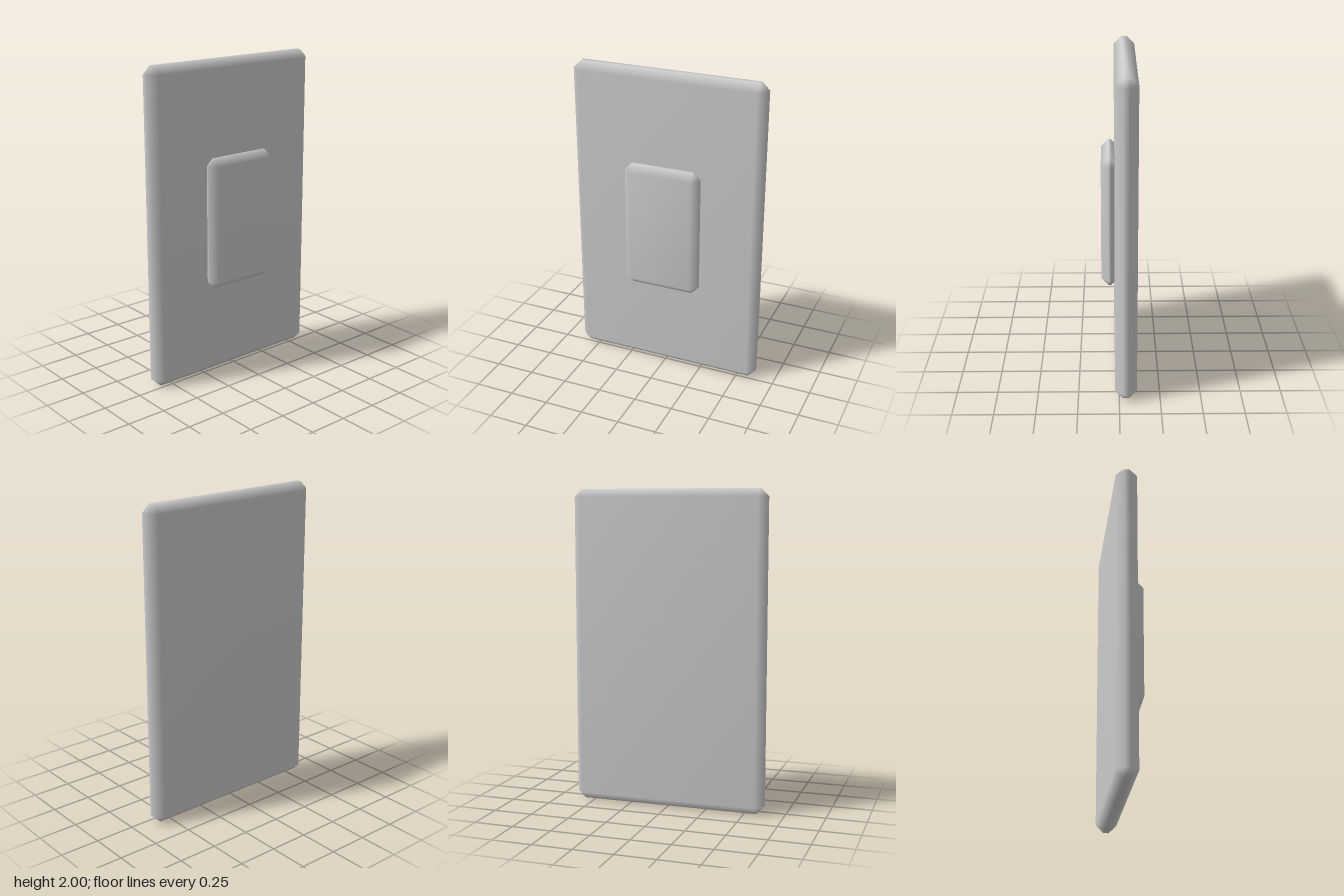
import * as THREE from 'three';
import { mergeVertices } from 'three/addons/utils/BufferGeometryUtils.js';
import { ConvexGeometry } from 'three/addons/geometries/ConvexGeometry.js';

const material = new THREE.MeshStandardMaterial({ color: 0xcccccc });

// Box with every edge and corner cut by one bevel, shaded smoothly across it.
function bevelledBox(name, width, height, depth, bevel) {
  const half = [width / 2, height / 2, depth / 2];
  const points = [];
  for (const sx of [-1, 1]) for (const sy of [-1, 1]) for (const sz of [-1, 1]) {
    // each corner becomes three points, one on each of its faces
    for (let face = 0; face < 3; face++) {
      const p = [sx, sy, sz].map((s, i) => s * (half[i] - (i === face ? 0 : bevel)));
      points.push(new THREE.Vector3(...p));
    }
  }
  let geometry = new ConvexGeometry(points);
  geometry.deleteAttribute('normal');
  geometry = mergeVertices(geometry);
  geometry.computeVertexNormals();
  const mesh = new THREE.Mesh(geometry, material);
  mesh.name = name;
  return mesh;
}

export function createModel() {
  const group = new THREE.Group();
  group.name = 'wallSwitch';

  // Wall plate
  const plate = bevelledBox('wallPlate', 1.244, 2, 0.133, 0.049);
  plate.position.set(0, 1, -0.0415);
  group.add(plate);

  // Rocker, its back edge sunk into the plate
  const rocker = bevelledBox('rocker', 0.496, 0.83, 0.107, 0.046);
  rocker.position.set(0, 1.003, 0.0545);
  group.add(rocker);

  return group;
}
